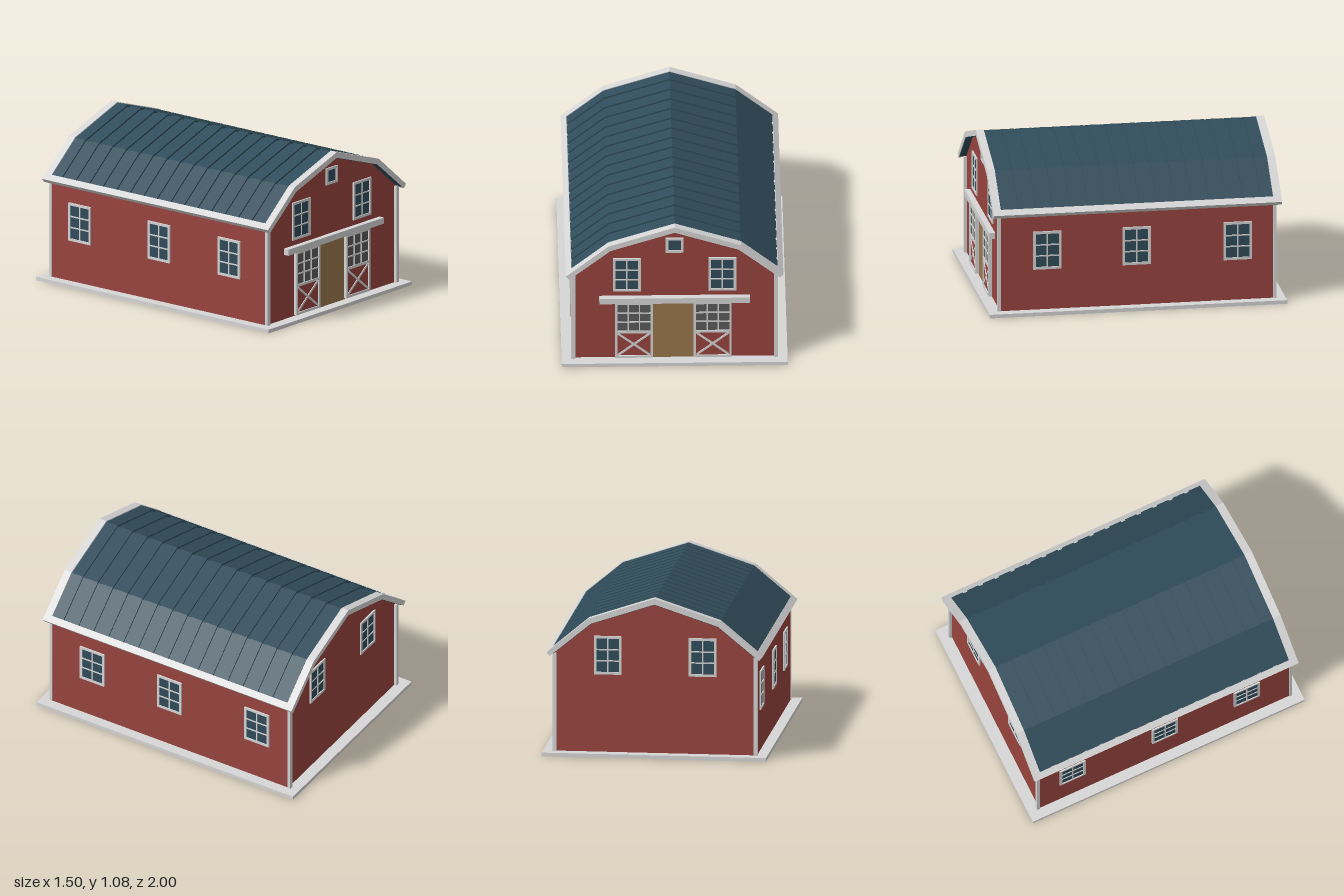
import * as THREE from 'three';

const mat = (name, color, side = THREE.FrontSide) => {
  const m = new THREE.MeshStandardMaterial({ color, side });
  m.name = name;
  return m;
};

export function createModel() {
  const red = mat('barn red', 0x98443e);
  const blue = mat('slate blue', 0x304c5a);
  const trim = mat('light grey trim', 0xd6d6d6);
  const brown = mat('brown wood', 0x9a774b);
  const glass = mat('dark grey panel', 0x5b5b5b);
  const concrete = mat('concrete', 0xbdbdbd);

  const model = new THREE.Group();
  model.name = 'barn';

  const add = (parent, name, geometry, material, x = 0, y = 0, z = 0) => {
    const mesh = new THREE.Mesh(geometry, material);
    mesh.name = name;
    mesh.position.set(x, y, z);
    parent.add(mesh);
    return mesh;
  };
  const box = (parent, name, material, w, h, d, x, y, z) =>
    add(parent, name, new THREE.BoxGeometry(w, h, d), material, x, y, z);
  const shapeOf = (pts) => new THREE.Shape(pts.map(([x, y]) => new THREE.Vector2(x, y)));
  const extrude = (shape, depth) => new THREE.ExtrudeGeometry(shape, { depth, bevelEnabled: false });
  const rect = (w, h) => [[-w / 2, -h / 2], [w / 2, -h / 2], [w / 2, h / 2], [-w / 2, h / 2]];
  const frame = (w, h, iw, ih, depth) => {
    const s = shapeOf(rect(w, h));
    s.holes.push(new THREE.Path(rect(iw, ih).reverse().map(([x, y]) => new THREE.Vector2(x, y))));
    return extrude(s, depth);
  };

  // Foundation ring and floor
  const base = add(model, 'foundation', frame(1.5, 2, 1.36, 1.84, 0.025), trim, 0, 0.025, 0);
  base.rotation.x = Math.PI / 2;
  box(model, 'floor', concrete, 1.34, 0.02, 1.82, 0, 0.01, 0);

  // Walls: gambrel outline carried along the length
  const wall = [[-0.68, 0.002], [0.68, 0.002], [0.68, 0.691], [0.425, 0.9], [0, 1.04], [-0.425, 0.9], [-0.68, 0.691]];
  add(model, 'walls', extrude(shapeOf(wall), 1.84), red, 0, 0, -0.92);

  // Corner posts
  for (const sx of [-1, 1]) for (const sz of [-1, 1])
    box(model, 'cornerPost', trim, 0.027, 0.665, 0.022, sx * 0.6725, 0.3575, sz * 0.928);

  // Roof section: t runs from underside (0) to top (1), s from knee (0) to eave (1)
  const mix = (a, b, t) => [a[0] + (b[0] - a[0]) * t, a[1] + (b[1] - a[1]) * t];
  const ridge = (t) => mix([0, 1.04], [0, 1.08], t);
  const slope = (t, s) => mix(mix([0.425, 0.9], [0.44, 0.935], t), mix([0.7, 0.675], [0.722, 0.7], t), s);
  const flip = ([x, y]) => [-x, y];
  const band = (t0, t1, s) => shapeOf([
    slope(t0, s), slope(t1, s), slope(t1, 0), ridge(t1), flip(slope(t1, 0)), flip(slope(t1, s)),
    flip(slope(t0, s)), flip(slope(t0, 0)), ridge(t0), slope(t0, 0),
  ]);
  const EDGE = 0.87;
  add(model, 'roofDeck', extrude(band(0, 0.62, EDGE), 1.84), blue, 0, 0, -0.92);
  add(model, 'roofSoffit', extrude(band(-0.08, 0, 0.93), 1.93), blue, 0, 0, -0.965);

  // Raised roof panels with narrow grooves between
  const panel = extrude(band(0.5, 0.9, EDGE), 0.085);
  for (let i = 0; i < 16; i++) add(model, 'roofPanel', panel, blue, 0, 0, -0.915 + i * 0.1163);

  // Gable and eave trim
  const gable = extrude(band(0, 1, 1), 0.053);
  add(model, 'frontGableTrim', gable, trim, 0, 0, 0.917);
  add(model, 'backGableTrim', gable, trim, 0, 0, -0.97);
  const eave = [slope(0, EDGE), slope(0, 1), slope(1, 1), slope(1, EDGE)];
  add(model, 'rightEaveTrim', extrude(shapeOf(eave), 1.834), trim, 0, 0, -0.917);
  add(model, 'leftEaveTrim', extrude(shapeOf(eave.map(flip).reverse()), 1.834), trim, 0, 0, -0.917);

  // Glazing bars dividing a pane into cols by rows
  const bars = (parent, w, h, cols, rows, y, z) => {
    for (let i = 1; i < cols; i++) box(parent, 'bar', trim, 0.009, h, 0.006, -w / 2 + (w * i) / cols, y, z);
    for (let j = 1; j < rows; j++) box(parent, 'bar', trim, w, 0.009, 0.006, 0, y - h / 2 + (h * j) / rows, z);
  };

  // Windows
  const addWindow = (name, w, h, cols, rows, x, y, z, turn) => {
    const g = new THREE.Group();
    g.name = name;
    const b = 0.017;
    add(g, 'windowFrame', frame(w, h, w - 2 * b, h - 2 * b, 0.01), trim);
    box(g, 'windowPane', blue, w - 2 * b, h - 2 * b, 0.004, 0, 0, 0.002);
    bars(g, w - 2 * b, h - 2 * b, cols, rows, 0, 0.005);
    g.position.set(x, y, z);
    g.rotation.y = turn;
    model.add(g);
  };
  for (const sx of [-1, 1]) {
    addWindow('frontWindow', 0.185, 0.26, 2, 3, sx * 0.317, 0.68, 0.92, 0);
    addWindow('backWindow', 0.185, 0.26, 2, 3, sx * 0.317, 0.68, -0.92, Math.PI);
    for (const z of [0.605, 0.003, -0.677])
      addWindow('sideWindow', 0.19, 0.262, 2, 3, sx * 0.68, 0.435, z, sx * Math.PI / 2);
  }
  addWindow('atticWindow', 0.118, 0.115, 1, 1, 0, 0.912, 0.92, 0);

  // Doorway and sliding door rail
  box(model, 'doorway', brown, 0.3, 0.45, 0.006, -0.01, 0.25, 0.922);
  box(model, 'doorRail', trim, 1.0, 0.042, 0.04, 0, 0.494, 0.944);

  // Sliding doors: glazed top, cross-braced bottom
  for (const x of [-0.27, 0.253]) {
    const door = new THREE.Group();
    door.name = 'slidingDoor';
    const w = 0.252, h = 0.436, b = 0.016, iw = w - 2 * b;
    add(door, 'doorFrame', frame(w, h, iw, h - 2 * b, 0.022), trim, 0, 0.253, 0);
    box(door, 'middleRail', trim, iw, 0.018, 0.02, 0, 0.237, 0.011);
    box(door, 'upperPanel', glass, iw, 0.21, 0.012, 0, 0.351, 0.008);
    bars(door, iw, 0.21, 3, 3, 0.351, 0.016);
    const lh = 0.177, ly = 0.1395;
    box(door, 'lowerPanel', red, iw, lh, 0.012, 0, ly, 0.008);
    const angle = Math.atan2(lh, iw), len = Math.hypot(iw, lh) - 0.014;
    for (const s of [-1, 1])
      box(door, 'crossBrace', trim, len, 0.014, 0.006, 0, ly, 0.016).rotation.z = s * angle;
    door.position.set(x, 0, 0.926);
    model.add(door);
  }
  return model;
}
